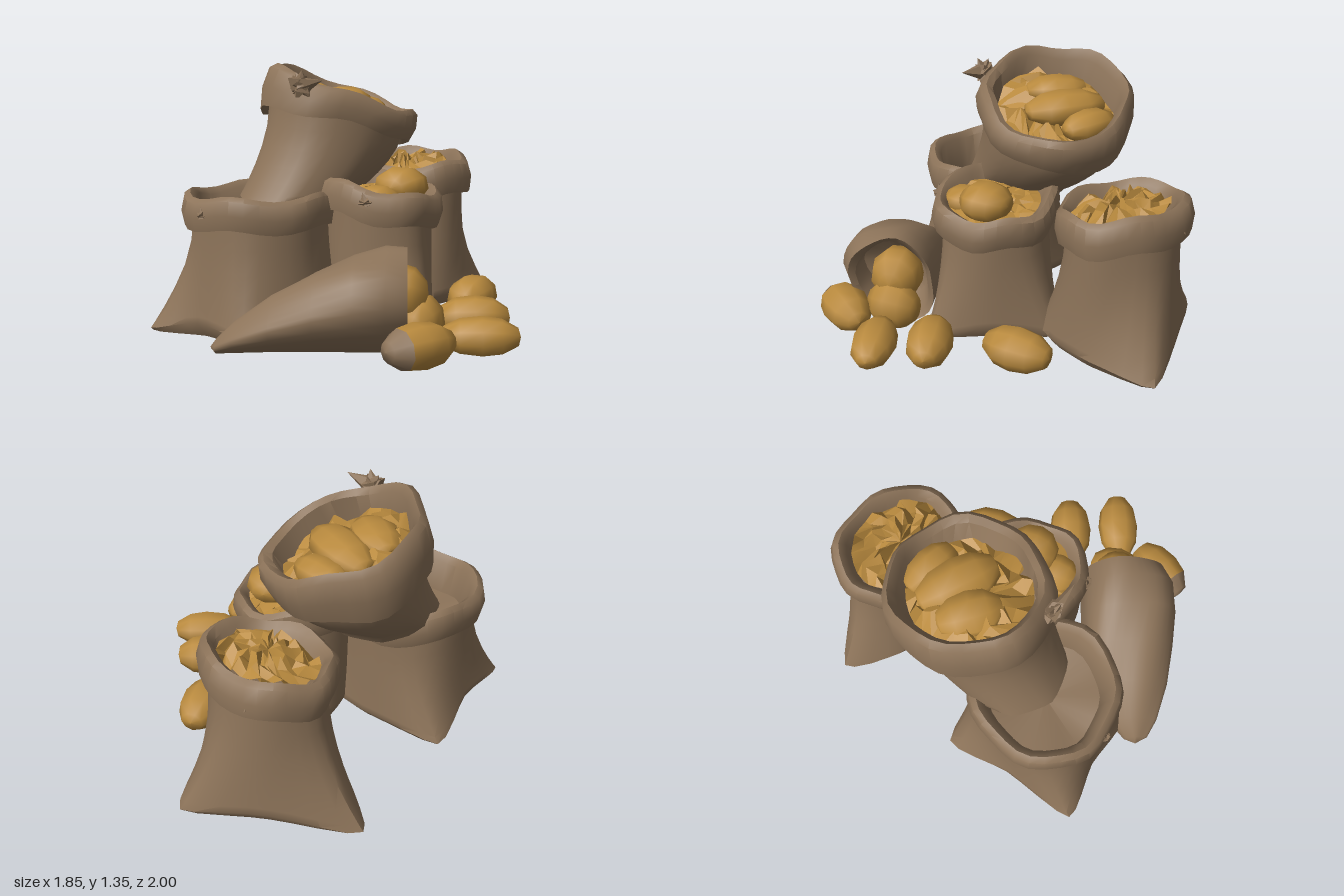
import * as THREE from 'three';
import { toCreasedNormals } from 'three/addons/utils/BufferGeometryUtils.js';

const N = 32;
const burlap = new THREE.MeshStandardMaterial({ color: 0x8c7359, side: THREE.DoubleSide });
burlap.name = 'burlap';
const gold = new THREE.MeshStandardMaterial({ color: 0xb98a3e, side: THREE.DoubleSide });
gold.name = 'potato gold';

let seed = 7;
const rand = () => (seed = (seed * 16807) % 2147483647) / 2147483647;
const jitter = (size) => (rand() - 0.5) * size;

function mesh(name, geo, mat, parent) {
  const m = new THREE.Mesh(geo, mat);
  m.name = name;
  parent.add(m);
  return m;
}

// Skin a list of closed rings, each holding N points
function loft(rings, crease = 0.8) {
  const pos = [], idx = [];
  rings.forEach((r) => r.forEach((p) => pos.push(p.x, p.y, p.z)));
  for (let j = 0; j < rings.length - 1; j++) {
    for (let i = 0; i < N; i++) {
      const a = j * N + i, b = j * N + (i + 1) % N;
      idx.push(a, a + N, b, b, a + N, b + N);
    }
  }
  const g = new THREE.BufferGeometry();
  g.setAttribute('position', new THREE.Float32BufferAttribute(pos, 3));
  g.setIndex(idx);
  return toCreasedNormals(g, crease);
}

const ringOf = (fn) => Array.from({ length: N }, (_, i) => fn((i / N) * Math.PI * 2, i));

// Standing sack: cornered base, round neck, folded cuff, open inside
function standingSack(name, o, parent) {
  const { base, y0, c, rx, rz, cuff, slope, slopeX = 0, lopsided = 0, phase, depth } = o;
  const curve = new THREE.CatmullRomCurve3(
    base.map(([x, z]) => new THREE.Vector3(x, y0, z)), true, 'catmullrom', 0.3);
  const sole = ringOf((a, i) => curve.getPoint(i / N));
  const mid = new THREE.Vector3();
  sole.forEach((p) => mid.addScaledVector(p, 1 / N));
  const mean = sole.reduce((s, p) => s + p.distanceTo(mid) / N, 0);
  // The sole is tucked in between the corners, so the lower edge is rounded there
  const tuck = sole.map((p) => 0.3 * Math.max(0, 1.3 - p.distanceTo(mid) / mean));
  const floor = sole.map((p, i) => new THREE.Vector3(p.x, p.y + 0.5 * tuck[i], p.z));
  sole.forEach((p, i) => p.lerp(mid, tuck[i]));

  // Ring round the mouth: d shrinks the radius, h is the height from the rim
  const rim = (d, h, wob = 1) => ringOf((a) => {
    const k = 1 + wob * (0.025 * Math.sin(3 * a + phase) + 0.018 * Math.sin(7 * a + 2 * phase));
    const dx = (rx - d) * k * Math.cos(a), dz = (rz - d) * k * Math.sin(a);
    const bump = wob * 0.014 * Math.sin(5 * a + phase * 3);
    const drop = h * (1 - lopsided * Math.cos(a));
    return new THREE.Vector3(c[0] + dx - h * slopeX * 0.3, c[1] + drop + slope * dz + slopeX * dx + bump,
      c[2] + dz - h * slope);
  });
  const neck = rim(0.055, -cuff * 0.85, 0.4);
  const rings = [sole.map(() => mid.clone()), sole, floor];
  for (const t of [0.06, 0.18, 0.35, 0.55, 0.78, 1]) {
    const s = 1 - Math.pow(1 - t, 1.7);
    rings.push(floor.map((p, i) => new THREE.Vector3(
      THREE.MathUtils.lerp(p.x, neck[i].x, s),
      THREE.MathUtils.lerp(p.y, neck[i].y, t),
      THREE.MathUtils.lerp(p.z, neck[i].z, s))));
  }
  rings.push(rim(0.015, -cuff), rim(0, -cuff * 0.55), rim(0.015, -cuff * 0.12),
    rim(0.045, 0), rim(0.08, -0.03), rim(0.11, -depth), rim(rx - 0.01, -depth - 0.03, 0));
  mesh(name, loft(rings), burlap, parent);
}

// Crumpled heap of produce inside a mouth
function heap(name, [x, y, z], rx, rz, slope, slopeX, dome, jag, parent) {
  const rings = [];
  for (let j = 0; j <= 5; j++) {
    rings.push(ringOf((a) => {
      const b = j && j < 5 ? a + jitter(0.3) : a;
      const r = j && j < 5 ? j / 5 + jitter(0.16) : j / 5;
      const dx = rx * r * Math.cos(b), dz = rz * r * Math.sin(b);
      return new THREE.Vector3(x + dx,
        y + dome * (1 - r * r) + slope * dz + slopeX * dx + (j ? jitter(jag) : 0), z + dz);
    }));
  }
  mesh(name, loft(rings, 0.3), gold, parent);
}

// Blunt potato along local z; the dusty one has its front end in sack colour
const profile = [[0, -1], [0.48, -0.93], [0.88, -0.5], [1, 0.05], [0.88, 0.54], [0.45, 0.94], [0, 1]]
  .map(([r, h]) => new THREE.Vector2(r, h));
function potato(name, [x, y, z], [w, h, l], yaw, parent, dusty = false) {
  const g = new THREE.Group();
  g.name = name;
  const part = (label, points, mat) =>
    mesh(label, new THREE.LatheGeometry(points, 9).rotateX(Math.PI / 2), mat, g);
  if (dusty) part('dustyEnd', profile.slice(4), burlap);
  part('skin', dusty ? profile.slice(0, 5) : profile, gold);
  g.scale.set(w, h, l);
  g.rotation.y = yaw;
  g.position.set(x, y, z);
  parent.add(g);
}

// Gathered cloth: flattened cones fanning out from a point, [angle, length] each
function knot(name, [x, y, z], size, yaw, ears, parent) {
  const g = new THREE.Group();
  g.name = name;
  ears.forEach(([a, len], i) => {
    const geo = new THREE.ConeGeometry(0.5, 1, 5).translate(0, 0.3, 0);
    const m = mesh('clothEar', toCreasedNormals(geo, 0.3), burlap, g);
    m.scale.set(1, len, 0.6);
    m.rotation.set(0.3 * (i % 3), 0, a);
  });
  g.scale.setScalar(size);
  g.rotation.y = yaw;
  g.position.set(x, y, z);
  parent.add(g);
}

export function createModel() {
  const model = new THREE.Group();
  model.name = 'potatoSacks';
  const oval = (x, z, rx, rz) => Array.from({ length: 8 }, (_, i) =>
    [x + rx * Math.cos(i * Math.PI / 4), z + rz * Math.sin(i * Math.PI / 4)]);

  // Four standing sacks
  standingSack('frontSack', {
    base: [[0.06, 0.5], [-0.01, 0.83], [-0.32, 0.89], [-0.6, 1], [-0.68, 0.6], [-0.78, 0.25], [-0.35, 0.14], [0.01, 0.2]],
    y0: 0.005, c: [-0.32, 0.71, 0.5], rx: 0.385, rz: 0.405, cuff: 0.16, slope: 0, phase: 1, depth: 0.2,
  }, model);
  standingSack('backSack', {
    base: [[0, -0.45], [-0.06, -0.26], [-0.35, -0.23], [-0.65, -0.3], [-0.92, -0.48], [-0.58, -0.77], [-0.2, -1], [-0.03, -0.7]],
    y0: 0.005, c: [-0.35, 0.8, -0.53], rx: 0.36, rz: 0.31, cuff: 0.18, slope: -0.12, phase: 2.4, depth: 0.14,
  }, model);
  standingSack('middleSack', {
    base: [[0.46, 0.03], [0.24, 0.22], [0.03, 0.29], [-0.18, 0.2], [-0.26, 0], [-0.2, -0.24], [-0.1, -0.38], [0.2, -0.2]],
    y0: 0.005, c: [0.03, 0.75, 0], rx: 0.335, rz: 0.32, cuff: 0.16, slope: 0.1, slopeX: -0.14, phase: 0.3, depth: 0.14,
  }, model);
  standingSack('topSack', {
    base: oval(-0.34, 0.27, 0.28, 0.31),
    y0: 0.62, c: [-0.325, 1.215, -0.03], rx: 0.4, rz: 0.41, cuff: 0.21, slope: 0.28, slopeX: -0.22, lopsided: 0.4, phase: 4, depth: 0.2,
  }, model);

  // Gathered cloth on the cuffs
  knot('topSackKnot', [-0.15, 1.24, 0.37], 0.13, 0.25, [[0.5, 0.7], [-0.3, 0.8], [-1.35, 1.5], [2.7, 0.9], [3.7, 0.8]], model);
  knot('frontSackKnot', [-0.27, 0.62, 0.88], 0.06, 0, [[0.2, 1], [2.9, 1], [3.5, 1.2]], model);
  knot('middleSackKnot', [0.22, 0.68, 0.26], 0.07, 0.6, [[0.3, 1], [3, 1], [3.6, 1.2]], model);
  knot('backSackKnot', [-0.5, 0.72, -0.8], 0.05, 0.5, [[0.2, 1], [3, 1], [3.5, 1.2]], model);

  // Contents of the sacks
  heap('backSackHeap', [-0.34, 0.74, -0.53], 0.27, 0.22, -0.1, 0, 0.05, 0.11, model);
  heap('topSackHeap', [-0.33, 1.09, 0], 0.3, 0.31, 0.3, -0.2, 0.05, 0.08, model);
  heap('middleSackHeap', [0.04, 0.68, 0], 0.24, 0.23, 0.1, -0.12, 0.02, 0.03, model);
  potato('topSackPotato', [-0.35, 1.13, -0.06], [0.13, 0.09, 0.21], 1.3, model);
  potato('topSackFrontPotato', [-0.42, 1.17, 0.1], [0.12, 0.07, 0.16], 1.1, model);
  potato('topSackBackPotato', [-0.38, 1.08, -0.22], [0.1, 0.08, 0.15], 1.6, model);
  potato('middleSackPotato', [0.13, 0.73, -0.05], [0.14, 0.1, 0.13], 0.4, model);
  potato('middleSackSmallPotato', [0.14, 0.68, 0.11], [0.11, 0.07, 0.12], 0.4, model);

  // Lying sack: x, z, half width, height, lift of each section, tail to mouth and back inside
  const sections = [
    [-0.06, 0.97, 0.001, 0.01, 0.03], [-0.04, 0.95, 0.06, 0.07, 0.005], [0.01, 0.88, 0.12, 0.15, 0.005],
    [0.12, 0.74, 0.19, 0.28, 0.005], [0.25, 0.59, 0.23, 0.39, 0.005], [0.38, 0.46, 0.245, 0.47, 0.005],
    [0.48, 0.35, 0.24, 0.51, 0.005], [0.53, 0.26, 0.215, 0.49, 0.01], [0.51, 0.28, 0.185, 0.44, 0.025],
    [0.39, 0.45, 0.165, 0.36, 0.04], [0.3, 0.55, 0.001, 0.01, 0.2],
  ];
  const lying = sections.map(([x, z, w, h, y], j) => ringOf((a) => {
    const s = Math.sin(a);
    const v = 0.55 + (s > 0 ? 0.45 * s : -0.55 * Math.pow(-s, 0.8));
    // The underside leans away from the seam
    const lean = 0.6 * Math.max(0, 0.5 - v);
    const u = w * (Math.cos(a) * (1 + 0.06 * Math.pow(Math.max(Math.cos(a), 0), 8)) - lean);
    const fold = s > 0 ? 0.01 * Math.sin(4 * a + j) * Math.min(1, w * 5) : 0;
    return new THREE.Vector3(x + 0.75 * u, Math.max(0, y + h * v + fold), z + 0.66 * u);
  }));
  mesh('lyingSack', loft(lying), burlap, model);

  // Potatoes in the mouth and spilled on the ground
  potato('mouthPotato', [0.48, 0.28, 0.27], [0.14, 0.15, 0.14], 2.3, model);
  potato('lowerMouthPotato', [0.55, 0.15, 0.2], [0.12, 0.14, 0.14], 0.5, model);
  potato('spilledPotato', [0.235, 0.11, -0.465], [0.125, 0.11, 0.18], 0.45, model);
  potato('spilledPotato', [0.55, 0.11, -0.155], [0.12, 0.11, 0.18], 2.4, model);
  potato('spilledPotato', [0.77, 0.095, 0.02], [0.115, 0.095, 0.19], 2.4, model);
  potato('spilledPotato', [0.74, 0.11, 0.375], [0.125, 0.11, 0.18], -0.1, model, true);
  return model;
}
